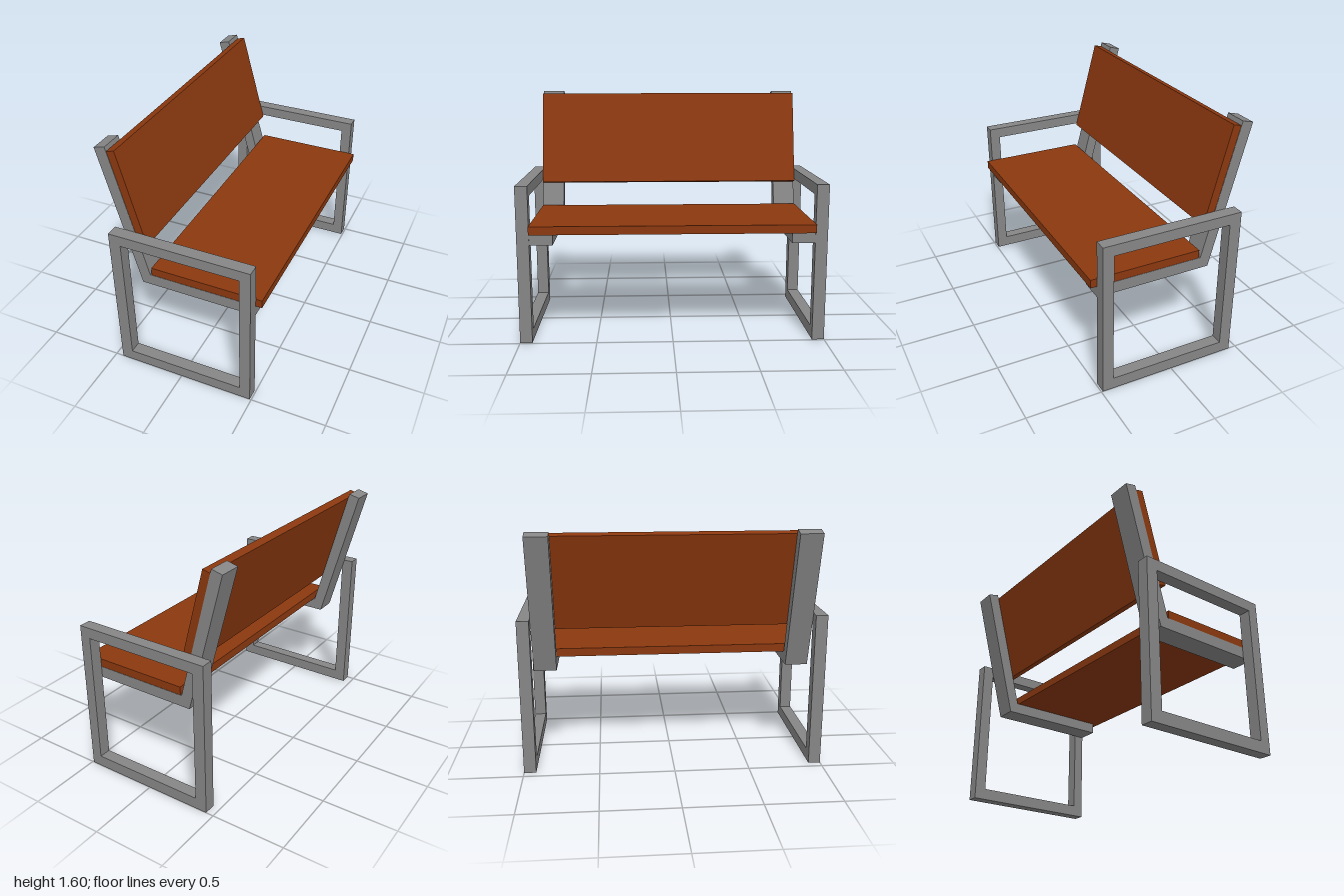
import * as THREE from 'three';

const steel = new THREE.MeshStandardMaterial({ name: 'grey steel', color: 0x868686 });
const wood = new THREE.MeshStandardMaterial({ name: 'brown wood', color: 0x8b380f });

const toPoints = (pts) => pts.map(([x, y]) => new THREE.Vector2(x, y));

// Side profile in x/y, extruded along z from z0 to z1
function slab(name, material, outline, z0, z1, hole) {
  const shape = new THREE.Shape(toPoints(outline));
  if (hole) shape.holes.push(new THREE.Path(toPoints(hole)));
  const geometry = new THREE.ExtrudeGeometry(shape, { depth: z1 - z0, bevelEnabled: false });
  geometry.translate(0, 0, z0);
  const mesh = new THREE.Mesh(geometry, material);
  mesh.name = name;
  return mesh;
}

const rect = (x0, y0, x1, y1) => [[x0, y0], [x1, y0], [x1, y1], [x0, y1]];

export function createModel() {
  const bench = new THREE.Group();
  bench.name = 'bench';

  // Leg loops with armrests, and bent brackets carrying the seat and back
  const frame = rect(-0.448, 0, 0.49, 1.037);
  const opening = rect(-0.37, 0.077, 0.418, 0.965);
  const bracket = [
    [-0.282, 0.655], [0.488, 0.655], [0.488, 0.73],
    [-0.225, 0.73], [-0.457, 1.597], [-0.53, 1.578],
  ];
  for (const [side, s] of [['left', 1], ['right', -1]]) {
    const span = (a, b) => (s > 0 ? [a, b] : [-b, -a]);
    bench.add(slab(side + 'LegFrame', steel, frame, ...span(0.92, 1), opening));
    bench.add(slab(side + 'Bracket', steel, bracket, ...span(0.77, 0.92)));
  }

  // Seat board
  bench.add(slab('seat', wood, rect(-0.215, 0.73, 0.53, 0.785), -0.918, 0.918));

  // Tilted back board resting on the uprights
  const back = [[-0.281, 0.94], [-0.229, 0.954], [-0.397, 1.583], [-0.449, 1.569]];
  bench.add(slab('backrest', wood, back, -0.918, 0.918));

  return bench;
}
